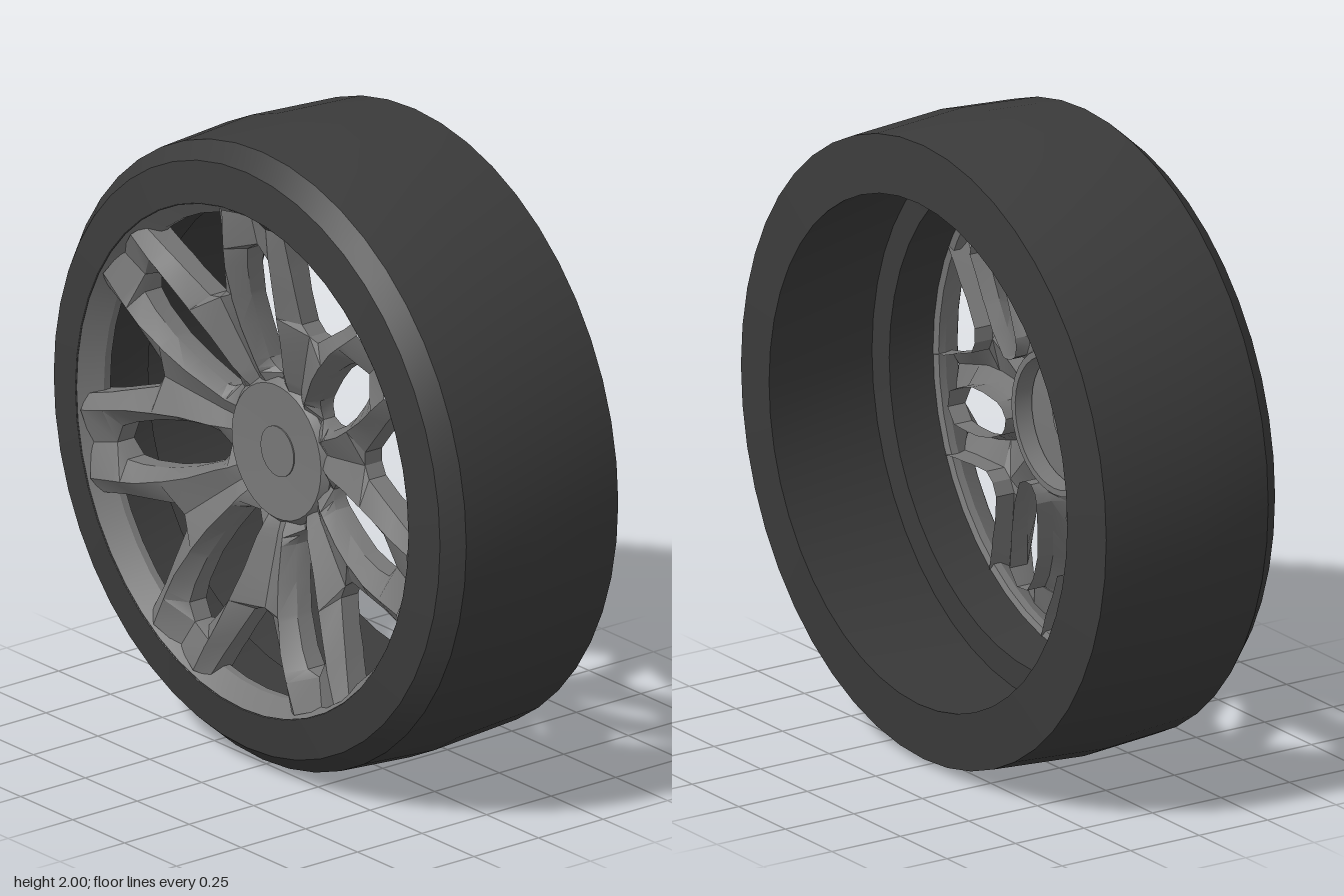
import * as THREE from 'three';
import { toCreasedNormals } from 'three/addons/utils/BufferGeometryUtils.js';

const SPOKES = 7;
const HALF = 180 / SPOKES;
const rad = THREE.MathUtils.degToRad;

// Ring turned around the z axis from [radius, z] pairs
function turned(name, profile, segments, material, crease = 0.45) {
  const points = profile.map(([r, z]) => new THREE.Vector2(r, z));
  const geometry = new THREE.LatheGeometry(points, segments).rotateX(Math.PI / 2);
  const mesh = new THREE.Mesh(toCreasedNormals(geometry, crease), material);
  mesh.name = name;
  return mesh;
}

// Half a forked spoke: [radius, inner angle, ridge angle, outer angle, inner z, ridge z, outer z, back z]
const STATIONS = [
  [0.215, 0, 11, HALF, 0.19, 0.205, 0.18, 0.14],
  [0.25, 0, 11, HALF, 0.2, 0.225, 0.185, 0.14],
  [0.265, 0, 11.3, 19, 0.205, 0.23, 0.188, 0.14],
  [0.29, 0, 11.8, 15.7, 0.21, 0.24, 0.195, 0.14],
  [0.4, 0, 12, 15.7, 0.235, 0.272, 0.22, 0.165],
  [0.495, 0, 13.3, 17, 0.255, 0.298, 0.245, 0.19],
  [0.51, 4.8, 13.6, 17.3, 0.258, 0.3, 0.25, 0.192],
  [0.6, 9.2, 14.8, 19.4, 0.275, 0.32, 0.27, 0.21],
  [0.66, 11.4, 16, 21.2, 0.285, 0.328, 0.28, 0.215],
  [0.69, 12.4, 16.6, HALF, 0.29, 0.332, 0.285, 0.22],
  [0.788, 14.5, 18, HALF, 0.31, 0.338, 0.31, 0.235],
];

// Open shell: valley floor, slope off the ridge, and walls around the openings
function halfSpoke(side) {
  const rings = STATIONS.map(([r, a, b, c, za, zb, zc, zBack]) =>
    [[a, za], [b, zb], [c, zc], [c, zBack], [a, zBack]].map(([angle, z]) =>
      [side * r * Math.sin(rad(angle)), r * Math.cos(rad(angle)), z]));
  const positions = [];
  for (let i = 0; i < rings.length - 1; i++) {
    const faces = [0, 1];
    if (STATIONS[i][3] < HALF || STATIONS[i + 1][3] < HALF) faces.push(2);
    if (STATIONS[i + 1][1] > 0) faces.push(4);
    for (const j of faces) {
      const k = (j + 1) % 5;
      const quad = [rings[i][j], rings[i][k], rings[i + 1][k], rings[i + 1][j]];
      if (side < 0) quad.reverse();
      for (const n of [0, 1, 2, 0, 2, 3]) positions.push(...quad[n]);
    }
  }
  const geometry = new THREE.BufferGeometry();
  geometry.setAttribute('position', new THREE.Float32BufferAttribute(positions, 3));
  return toCreasedNormals(geometry, 0.5);
}

export function createModel() {
  const model = new THREE.Group();
  model.name = 'wheel';
  const rubber = new THREE.MeshStandardMaterial({ color: 0x3b3b3b });
  rubber.name = 'dark rubber';
  const metal = new THREE.MeshStandardMaterial({ color: 0x777777, side: THREE.DoubleSide });
  metal.name = 'grey metal';

  const wheel = new THREE.Group();
  wheel.name = 'wheelAssembly';
  wheel.position.y = 1;
  model.add(wheel);

  // Tyre with a bevelled front shoulder and a stepped barrel behind
  wheel.add(turned('tyre', [
    [0.8, -0.345], [0.98, -0.325], [1, 0], [0.982, 0.265], [0.93, 0.325], [0.8, 0.343],
    [0.79, 0.3], [0.775, 0.25], [0.78, 0.08], [0.865, 0.075], [0.8, -0.345],
  ], 48, rubber, 0.3));

  // Rim lip holding the spoke ends
  wheel.add(turned('rim', [
    [0.802, 0.344], [0.785, 0.318], [0.757, 0.27], [0.757, 0.245], [0.78, 0.235],
  ], 48, metal));

  // Recessed thin hub with a raised lip at the back
  wheel.add(turned('hub', [
    [0.2, 0.206], [0.207, 0.15], [0.227, 0.15], [0.234, 0.19],
    [0.215, 0.211], [0.08, 0.204], [0, 0.204],
  ], 35, metal));

  // Thin centre cap showing on both faces of the hub
  wheel.add(turned('centreCap', [
    [0, 0.2], [0.08, 0.2], [0.08, 0.208], [0, 0.208],
  ], 24, metal));

  // Seven forked spokes, each of two mirrored halves
  const halves = [halfSpoke(1), halfSpoke(-1)];
  for (let i = 0; i < SPOKES; i++) {
    const spoke = new THREE.Group();
    spoke.name = `spoke${i + 1}`;
    spoke.rotation.z = ((i + 0.5) * 2 * Math.PI) / SPOKES;
    halves.forEach((geometry, n) => {
      const half = new THREE.Mesh(geometry, metal);
      half.name = n ? 'spokeLeftArm' : 'spokeRightArm';
      spoke.add(half);
    });
    wheel.add(spoke);
  }
  return model;
}
